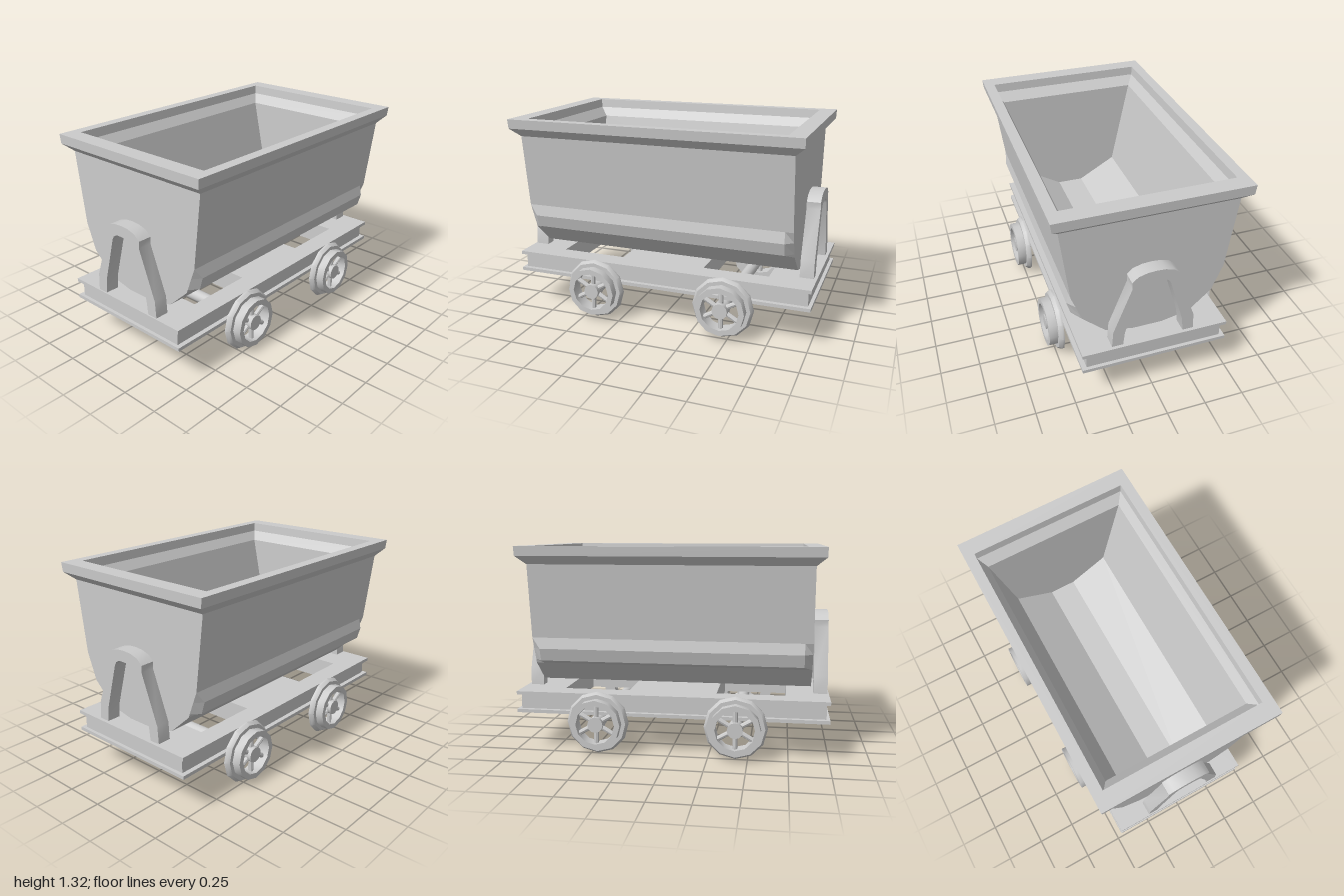
import * as THREE from 'three';
import { toCreasedNormals } from 'three/addons/utils/BufferGeometryUtils.js';

const material = new THREE.MeshStandardMaterial({ color: 0xcccccc });
const flatMaterial = new THREE.MeshStandardMaterial({ color: 0xcccccc, flatShading: true });

function add(parent, name, geometry, x = 0, y = 0, z = 0, mat = material) {
  const mesh = new THREE.Mesh(geometry, mat);
  mesh.name = name;
  mesh.position.set(x, y, z);
  parent.add(mesh);
  return mesh;
}

const crease = (geometry) => toCreasedNormals(geometry, 0.65);

// Joins neighbouring sections (lists of [x, y, z]) with quads
function loft(out, sections, closed = false) {
  for (let i = 0; i < sections.length - 1; i++) {
    const s = sections[i], t = sections[i + 1], n = s.length;
    for (let j = 0; j < (closed ? n : n - 1); j++) {
      const k = (j + 1) % n;
      out.push(...s[j], ...s[k], ...t[k], ...s[j], ...t[k], ...t[j]);
    }
  }
}

// Symmetric trough section at x, from half profile points [z, y]
const section = (half, x) => [
  ...half.map(([z, y]) => [x, y, z]),
  ...[...half].reverse().map(([z, y]) => [x, y, -z]),
];

// Flat end wall at x, facing the direction of dir
const endWall = (out, half, x, dir) =>
  loft(out, half.map(([z, y]) => [[x, y, -z * dir], [x, y, z * dir]]));

function makeTub() {
  const out = [];
  const end = [[0.537, 1.206], [0.478, 0.738], [0.451, 0.668], [0.421, 0.588],
    [0.412, 0.564], [0.269, 0.431], [0.094, 0.395]];
  // Between the ends the lower sides swell outwards
  const middle = end.map((p) => [...p]);
  middle[2][0] = 0.492;
  middle[3][0] = 0.468;
  const inner = [[0.475, 1.2], [0.35, 0.6], [0.09, 0.45]];

  // Outer skin and inner cavity
  loft(out, [section(end, -0.883), section(middle, -0.833), section(middle, 0.833), section(end, 0.883)]);
  loft(out, [section(inner, 0.78), section(inner, -0.78)]);
  for (const s of [-1, 1]) {
    endWall(out, end, s * 0.883, s);
    endWall(out, inner, s * 0.78, -s);
  }

  // Flared rim: rings of half length, half width, height
  const rings = [[0.883, 0.537, 1.206], [0.943, 0.583, 1.258], [0.945, 0.59, 1.318],
    [0.837, 0.522, 1.318], [0.833, 0.517, 1.26], [0.78, 0.475, 1.2]];
  loft(out, rings.map(([x, z, y]) => [[-x, y, z], [x, y, z], [x, y, -z], [-x, y, -z]]), true);

  const geometry = new THREE.BufferGeometry();
  geometry.setAttribute('position', new THREE.Float32BufferAttribute(out, 3));
  geometry.computeVertexNormals();
  return geometry;
}

// Horizontal slab with two rectangular openings
function slab(halfX, halfZ, height) {
  const rect = (shape, x0, x1, z) =>
    shape.moveTo(x0, -z).lineTo(x1, -z).lineTo(x1, z).lineTo(x0, z).closePath();
  const shape = rect(new THREE.Shape(), -halfX, halfX, halfZ);
  for (const [x0, x1] of [[-0.73, -0.29], [0.28, 0.71]]) {
    shape.holes.push(rect(new THREE.Path(), x0, x1, 0.33));
  }
  return new THREE.ExtrudeGeometry(shape, { depth: height, bevelEnabled: false }).rotateX(-Math.PI / 2);
}

// Arched support, extruded along x and centred on its thickness
function makeBracket() {
  const outer = [[0.262, 0.38], [0.255, 0.494], [0.143, 0.797], [0.147, 0.842], [0.11, 0.875], [0.055, 0.891]];
  const inner = [[0.192, 0.38], [0.182, 0.476], [0.092, 0.78], [0.078, 0.805], [0.048, 0.822]];
  const flip = (list) => [...list].reverse().map(([z, y]) => [-z, y]);
  const outline = [...outer, [0, 0.895], ...flip(outer), ...inner.map(([z, y]) => [-z, y]), ...[...inner].reverse()];
  const shape = new THREE.Shape(outline.map(([z, y]) => new THREE.Vector2(z, y)));
  const geometry = new THREE.ExtrudeGeometry(shape, { depth: 0.088, bevelEnabled: false });
  return crease(geometry.translate(0, 0, -0.044).rotateY(Math.PI / 2));
}

// Flanged spoked wheel, inner face at z = 0, outer face towards +z
function makeWheel() {
  const wheel = new THREE.Group();
  wheel.name = 'wheel';
  const profile = [[0.125, 0], [0.2, 0], [0.2, 0.012], [0.185, 0.034], [0.16, 0.034],
    [0.16, 0.089], [0.125, 0.089], [0.125, 0]].map(([r, y]) => new THREE.Vector2(r, y));
  add(wheel, 'wheelRim', crease(new THREE.LatheGeometry(profile, 12).rotateX(Math.PI / 2)));
  add(wheel, 'hub', crease(new THREE.CylinderGeometry(0.05, 0.05, 0.08, 12).rotateX(Math.PI / 2)), 0, 0, 0.042);
  for (let i = 0; i < 6; i++) {
    const spoke = new THREE.CylinderGeometry(0.016, 0.016, 0.1, 8).translate(0, 0.085, 0);
    add(wheel, 'spoke', crease(spoke.rotateZ(i * Math.PI / 3)), 0, 0, 0.045);
  }
  return wheel;
}

export function createModel() {
  const model = new THREE.Group();
  model.name = 'tippingMineCart';

  add(model, 'tub', makeTub(), -0.002, 0, 0, flatMaterial);

  // Chassis: two flanges with a slightly inset core
  const chassis = new THREE.Group();
  chassis.name = 'chassis';
  chassis.position.z = -0.014;
  model.add(chassis);
  add(chassis, 'lowerFlange', slab(1, 0.464, 0.022), 0, 0.242, 0, flatMaterial);
  add(chassis, 'chassisCore', slab(0.978, 0.434, 0.1), 0, 0.262, 0, flatMaterial);
  add(chassis, 'upperFlange', slab(1, 0.464, 0.022), 0, 0.36, 0, flatMaterial);

  // Tub supports
  for (const x of [-0.947, 0.935]) add(model, 'supportBracket', makeBracket(), x);

  // Wheel sets
  for (const x of [-0.423, 0.458]) {
    const set = new THREE.Group();
    set.name = 'wheelSet';
    set.position.set(x, 0.2, -0.008);
    model.add(set);
    add(set, 'axle', crease(new THREE.CylinderGeometry(0.04, 0.04, 0.98, 16).rotateX(Math.PI / 2)));
    for (const side of [1, -1]) {
      const wheel = makeWheel();
      wheel.position.z = side * 0.471;
      if (side < 0) wheel.rotation.y = Math.PI;
      set.add(wheel);
    }
  }
  return model;
}
